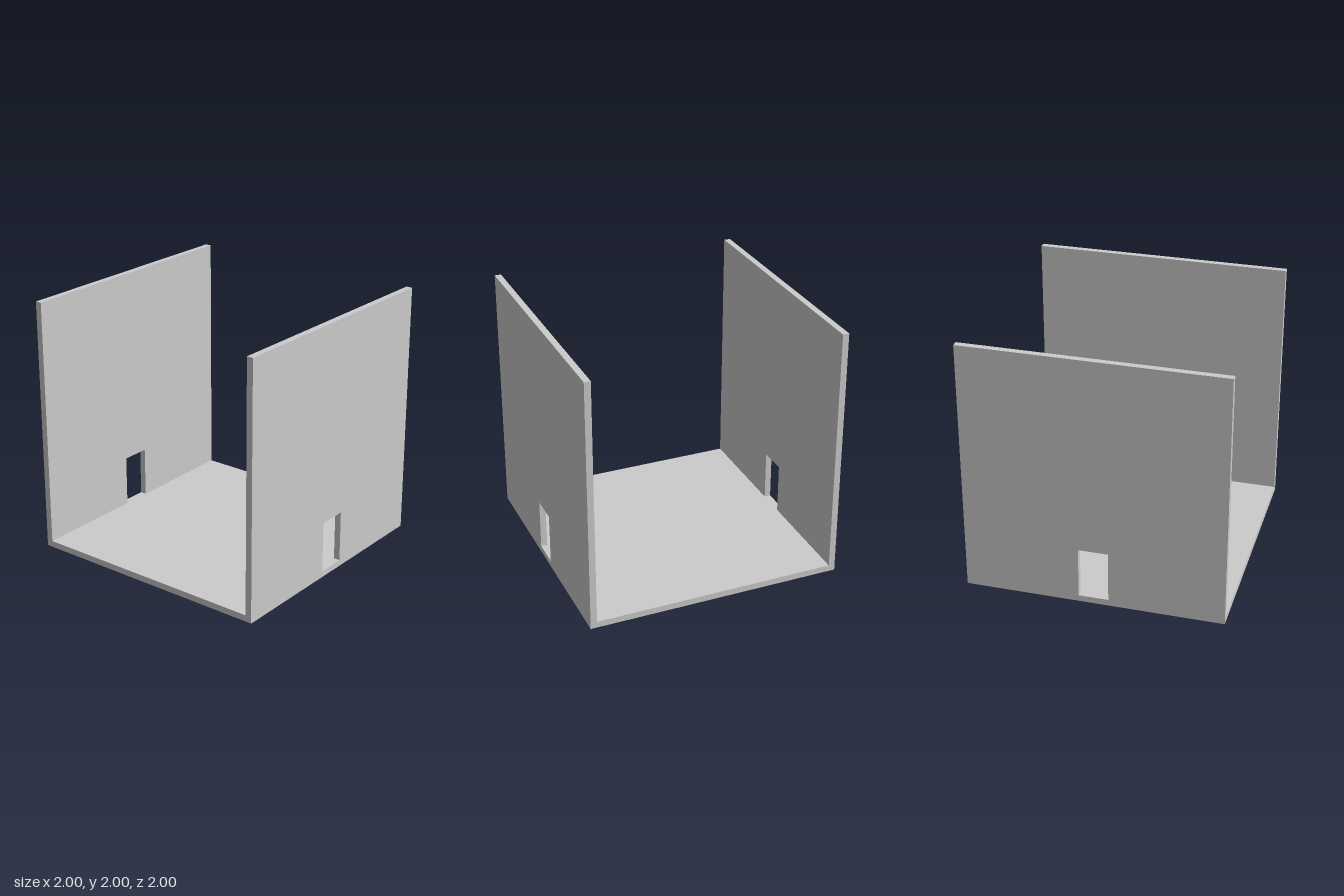
import * as THREE from 'three';

const SIZE = 2, THICK = 0.05;
const DOOR_HALF = 0.115, DOOR_TOP = 0.45;

export function createModel() {
  const group = new THREE.Group();
  group.name = 'openRoom';
  const material = new THREE.MeshStandardMaterial({ color: 0xcccccc, flatShading: true });
  const half = SIZE / 2;

  // Floor slab between the two walls
  const floor = new THREE.Mesh(new THREE.BoxGeometry(SIZE - 2 * THICK, THICK, SIZE), material);
  floor.name = 'floor';
  floor.position.y = THICK / 2;
  group.add(floor);

  // Wall outline with a doorway that starts at floor level
  const outline = new THREE.Shape([
    new THREE.Vector2(-half, 0), new THREE.Vector2(half, 0),
    new THREE.Vector2(half, SIZE), new THREE.Vector2(-half, SIZE),
  ]);
  outline.holes.push(new THREE.Path([
    new THREE.Vector2(-DOOR_HALF, THICK), new THREE.Vector2(-DOOR_HALF, DOOR_TOP),
    new THREE.Vector2(DOOR_HALF, DOOR_TOP), new THREE.Vector2(DOOR_HALF, THICK),
  ]));
  const wallGeometry = new THREE.ExtrudeGeometry(outline, { depth: THICK, bevelEnabled: false });
  wallGeometry.translate(0, 0, -THICK / 2).rotateY(Math.PI / 2);

  // Matching side walls
  for (const [name, side] of [['leftWall', 1], ['rightWall', -1]]) {
    const wall = new THREE.Mesh(wallGeometry, material);
    wall.name = name;
    wall.position.x = side * (half - THICK / 2);
    group.add(wall);
  }
  return group;
}
